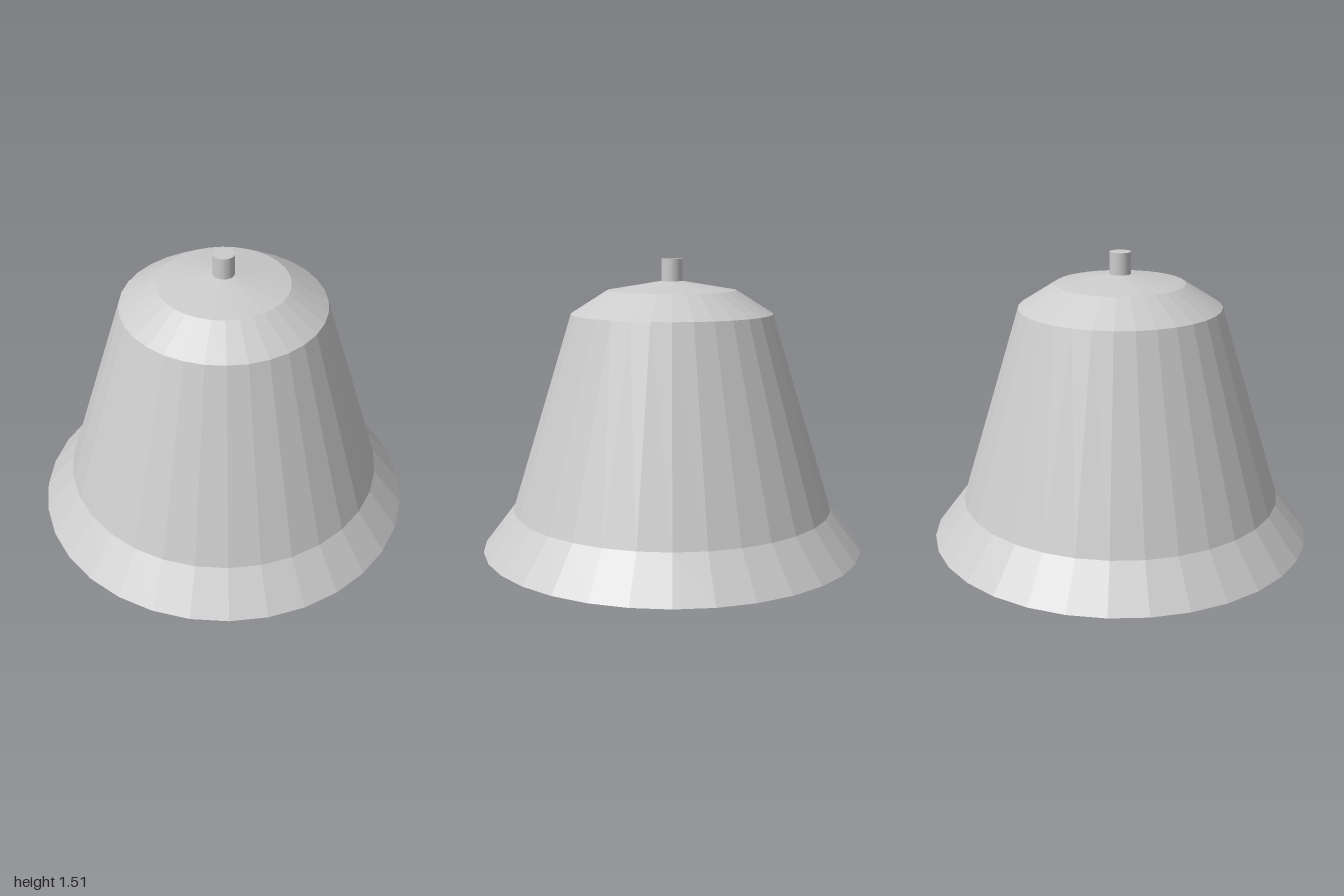
import * as THREE from 'three';

const SIDES = 32;

export function createModel() {
  const model = new THREE.Group();
  model.name = 'bell';
  const material = new THREE.MeshStandardMaterial({ color: 0xcccccc, flatShading: true });

  const addLathe = (name, profile) => {
    const points = profile.map(([r, y]) => new THREE.Vector2(r, y));
    const mesh = new THREE.Mesh(new THREE.LatheGeometry(points, SIDES), material);
    mesh.name = name;
    model.add(mesh);
  };

  // Closed bell: flat base, flared lip, tapered waist, two-step crown
  addLathe('bellBody', [
    [0, 0], [1, 0], [0.84, 0.21], [0.525, 1.23], [0.335, 1.35], [0.055, 1.397], [0, 1.397],
  ]);

  // Short round stem on the crown
  const stem = new THREE.Mesh(new THREE.CylinderGeometry(0.055, 0.055, 0.13, SIDES), material);
  stem.name = 'stem';
  stem.position.y = 1.445;
  model.add(stem);

  return model;
}
